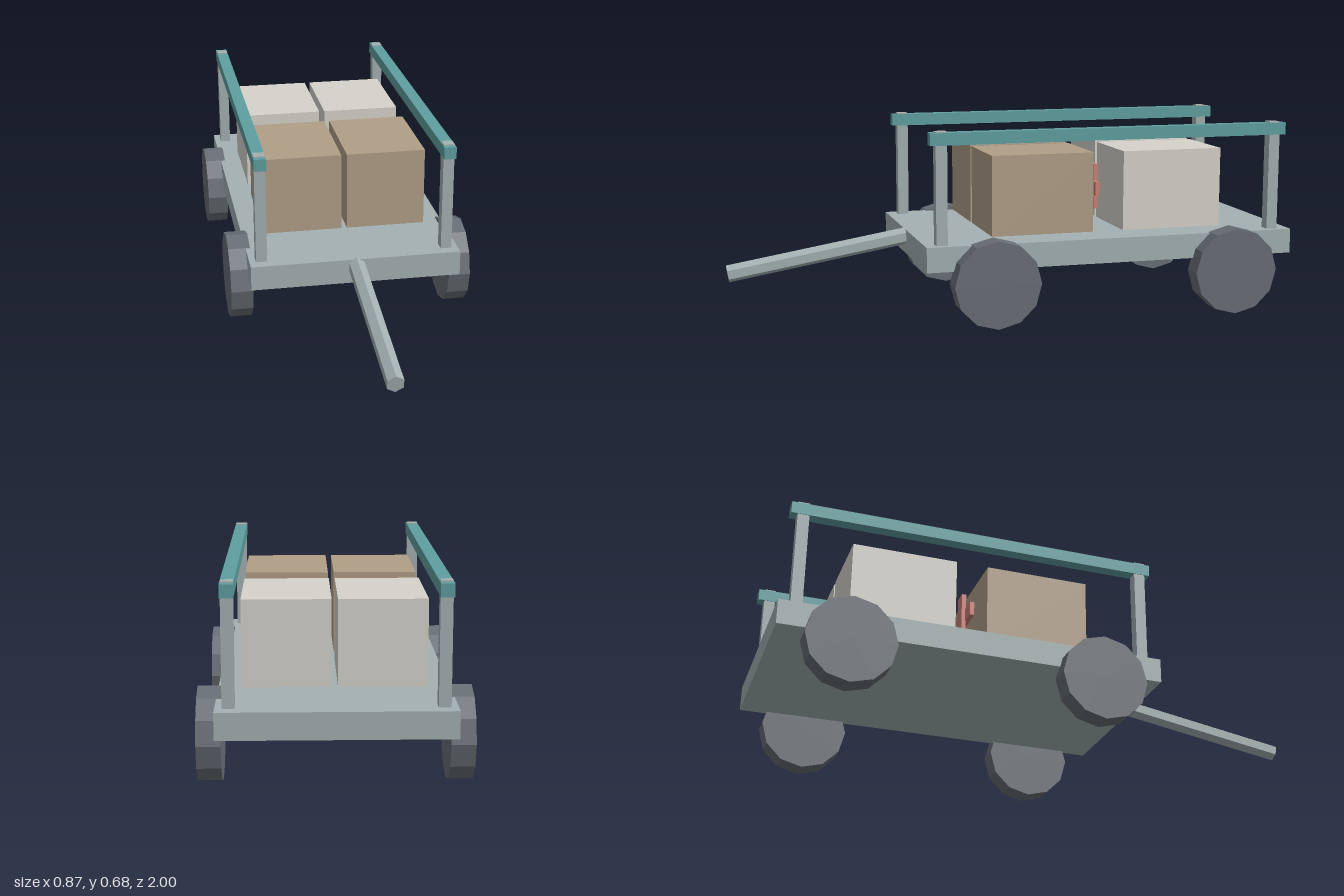
import * as THREE from 'three';

const material = (color) => new THREE.MeshStandardMaterial({ color, flatShading: true });

export function createModel() {
  const cart = new THREE.Group();
  cart.name = 'cargoCart';

  const frameMat = material(0xa3b0b1);
  const railMat = material(0x5f9ea0);
  const wheelMat = material(0x676e75);
  const tanMat = material(0xb09e86);
  const paleMat = material(0xd6d3cb);
  const redMat = material(0xcd7f76);

  const add = (name, geometry, mat) => {
    const mesh = new THREE.Mesh(geometry, mat);
    mesh.name = name;
    cart.add(mesh);
    return mesh;
  };

  // Box given by its extents along each axis
  const block = (name, mat, [x0, x1], [y0, y1], [z0, z1]) => {
    const mesh = add(name, new THREE.BoxGeometry(x1 - x0, y1 - y0, z1 - z0), mat);
    mesh.position.set((x0 + x1) / 2, (y0 + y1) / 2, (z0 + z1) / 2);
  };

  // Flat deck
  block('deck', frameMat, [-0.372, 0.372], [0.198, 0.286], [-1, 0.355]);

  // Six-sided tow bar sloping down from the front edge
  const barBack = new THREE.Vector3(0, 0.262, 0.345);
  const barFront = new THREE.Vector3(0, 0.155, 0.995);
  const barDir = barFront.clone().sub(barBack);
  const bar = add('towBar', new THREE.CylinderGeometry(0.031, 0.031, barDir.length(), 6), frameMat);
  bar.position.copy(barBack).add(barFront).multiplyScalar(0.5);
  bar.rotation.x = Math.atan2(barDir.z, barDir.y);

  for (const side of [1, -1]) {
    const label = side > 0 ? 'left' : 'right';
    const span = (a, b) => (side > 0 ? [a, b] : [-b, -a]);

    // Wheels
    for (const [end, z] of [['Front', 0.118], ['Rear', -0.762]]) {
      const wheel = add(`${label}${end}Wheel`, new THREE.CylinderGeometry(0.154, 0.154, 0.078, 12), wheelMat);
      wheel.rotation.z = Math.PI / 2;
      wheel.position.set(side * 0.395, 0.154, z);
    }

    // Posts run just through the hand rail
    for (const [end, z] of [['Front', 0.296], ['Rear', -0.936]]) {
      block(`${label}${end}Post`, frameMat, span(0.31, 0.349), [0.28, 0.677], [z - 0.02, z + 0.02]);
    }
    block(`${label}Rail`, railMat, span(0.308, 0.351), [0.63, 0.673], [-0.978, 0.335]);

    // Crates in two rows
    block(`${label}FrontCrate`, tanMat, span(0.01, 0.296), [0.298, 0.582], [-0.266, 0.105]);
    block(`${label}RearCrate`, paleMat, span(0.01, 0.296), [0.298, 0.582], [-0.75, -0.379]);

    // Red cross between the rows, made of two overlapping bars
    block(`${label}CrossBar`, redMat, span(0.073, 0.237), [0.416, 0.466], [-0.311, -0.295]);
    block(`${label}CrossUpright`, redMat, span(0.13, 0.18), [0.36, 0.523], [-0.324, -0.308]);
  }

  return cart;
}
